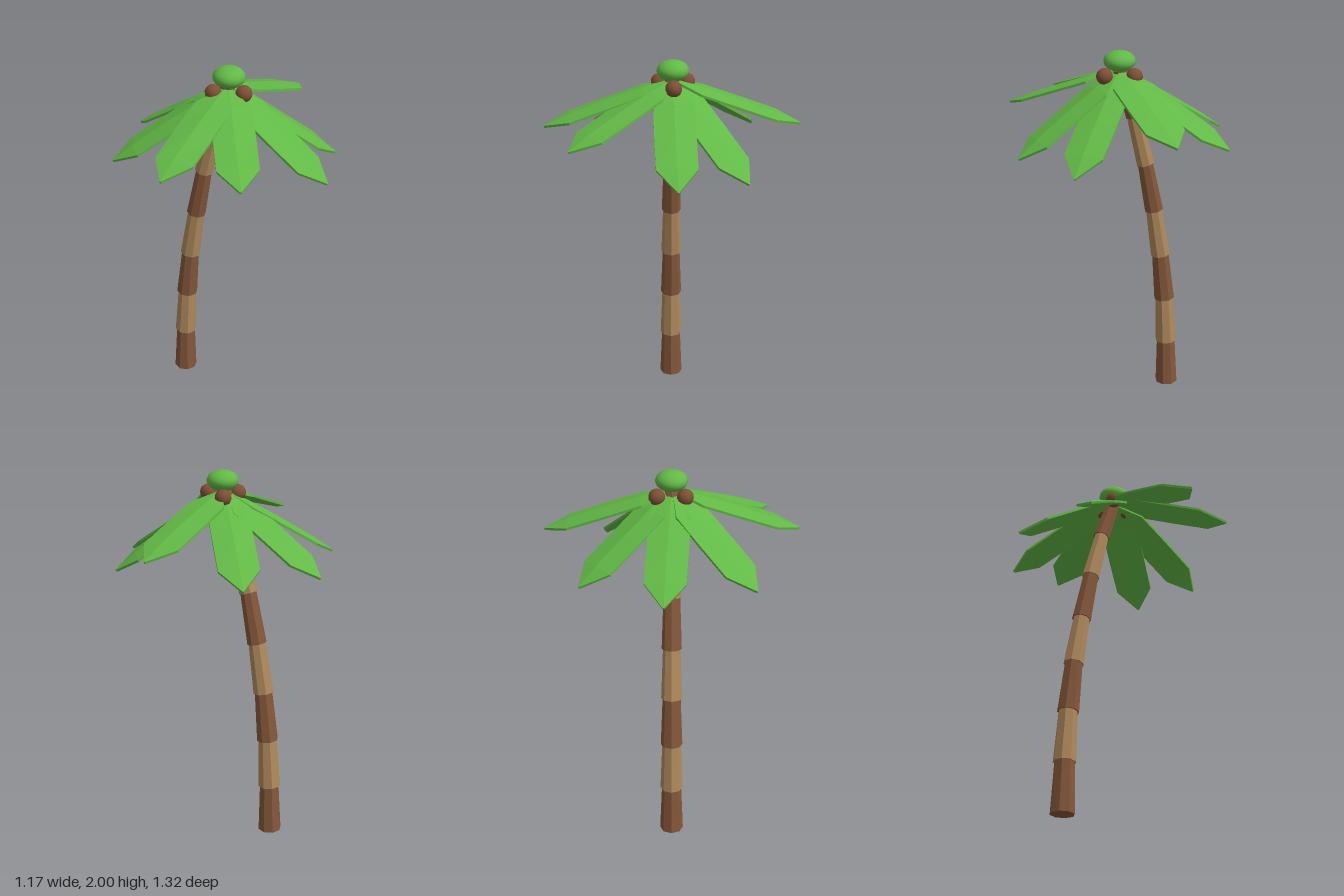
import * as THREE from 'three';

const mat = (color, flatShading = false) => new THREE.MeshStandardMaterial({ color, flatShading });

function add(parent, name, geometry, material) {
  const mesh = new THREE.Mesh(geometry, material);
  mesh.name = name;
  parent.add(mesh);
  return mesh;
}

// Leaf along +z: six-point sections (roofed top, matching hollow underside) lofted to a point
function leafGeometry() {
  // distance along the leaf, half width, ridge height
  const sections = [[0.03, 0.02, 0.004], [0.16, 0.103, 0.014], [0.36, 0.105, 0.016], [0.565, 0.103, 0.012], [0.7, 0.003, 0.001]];
  const thick = 0.012, pos = [], index = [], n = 6;
  for (const [z, w, h] of sections) {
    pos.push(w, 0, z, 0, h, z, -w, 0, z, -w, -thick, z, 0, h * 0.4 - thick, z, w, -thick, z);
  }
  for (let s = 0; s < sections.length - 1; s++) {
    for (let i = 0; i < n; i++) {
      const a = s * n + i, b = s * n + (i + 1) % n;
      index.push(a, b + n, b, a, a + n, b + n);
    }
  }
  // end caps
  const e = (sections.length - 1) * n;
  for (let i = 1; i < n - 1; i++) {
    index.push(0, i, i + 1, e, e + i + 1, e + i);
  }
  const g = new THREE.BufferGeometry();
  g.setAttribute('position', new THREE.Float32BufferAttribute(pos, 3));
  g.setIndex(index);
  g.computeVertexNormals();
  return g;
}

export function createModel() {
  const model = new THREE.Group();
  model.name = 'palmTree';
  const darkBark = mat(0x85573a, true), lightBark = mat(0xb08a5c, true);
  const green = mat(0x62b946), leafGreen = mat(0x62b946, true), brown = mat(0x7d4f35);
  leafGreen.side = THREE.DoubleSide;

  // Trunk: tapered segments along a leaning curve, each flaring at its foot
  const trunk = new THREE.Group();
  trunk.name = 'trunk';
  model.add(trunk);
  const joints = [[-0.305, 0], [-0.298, 0.275], [-0.282, 0.55], [-0.253, 0.825], [-0.208, 1.1], [-0.152, 1.375], [-0.082, 1.65], [0, 1.9]]
    .map(([x, y]) => new THREE.Vector3(x, y, 0));
  const up = new THREE.Vector3(0, 1, 0);
  for (let i = 0; i < 7; i++) {
    const dir = joints[i + 1].clone().sub(joints[i]);
    const foot = 0.064 - i * 0.0028;
    const segment = add(trunk, 'trunkSegment' + (i + 1),
      new THREE.CylinderGeometry(foot * 0.82, foot, dir.length() + 0.008, 8), i % 2 ? lightBark : darkBark);
    segment.position.copy(joints[i]).addScaledVector(dir, 0.5);
    if (i === 0) segment.position.y += 0.004;
    segment.quaternion.setFromUnitVectors(up, dir.normalize());
  }

  // Leaves: each reaches from the crown to its tip
  const leaves = new THREE.Group();
  leaves.name = 'leaves';
  leaves.position.set(0, 1.9, 0);
  model.add(leaves);
  const leaf = leafGeometry();
  const tips = [
    [0.055, 1.675, 0.66], [0.405, 1.66, 0.51], [0.58, 1.51, -0.015], [0.435, 1.49, -0.37],
    [0.03, 1.675, -0.66], [-0.39, 1.545, -0.45], [-0.585, 1.535, -0.035], [-0.42, 1.545, 0.415],
  ];
  tips.forEach(([x, y, z], i) => {
    const mesh = add(leaves, 'leaf' + (i + 1), leaf, leafGreen);
    mesh.rotation.set(Math.atan2(1.9 - y, Math.hypot(x, z)), Math.atan2(x, z), 0, 'YXZ');
  });

  // Crown bud on top
  const bud = add(model, 'crownBud', new THREE.SphereGeometry(0.083, 20, 14), green);
  bud.scale.y = 0.65;
  bud.position.set(0.003, 1.946, -0.003);

  // Coconuts in a ring of three
  for (let i = 0; i < 3; i++) {
    const a = i * Math.PI * 2 / 3;
    const nut = add(model, 'coconut' + (i + 1), new THREE.SphereGeometry(0.043, 14, 10), brown);
    nut.position.set(0.09 * Math.cos(a), 1.875, 0.083 * Math.sin(a) - 0.005);
  }
  return model;
}
